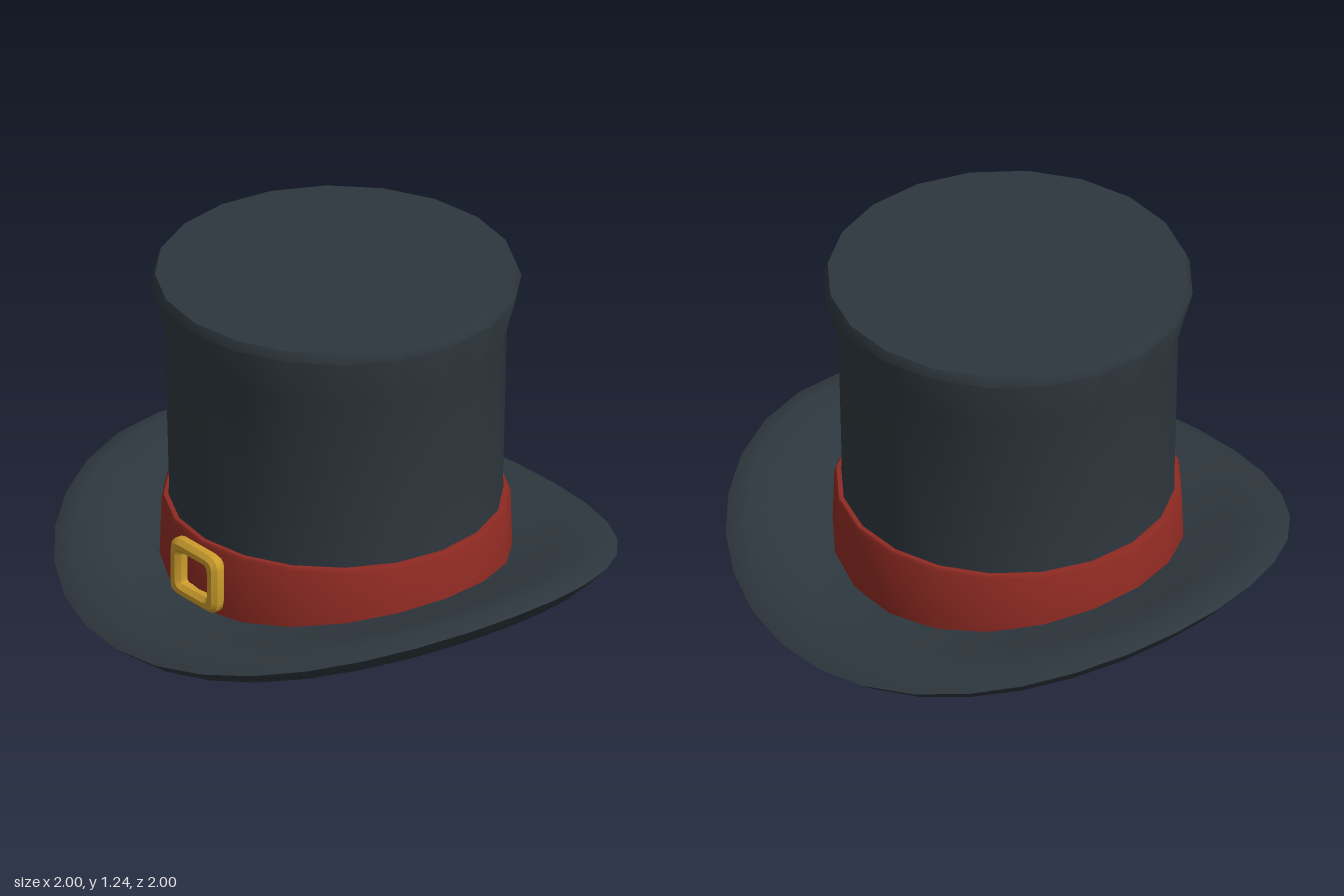
import * as THREE from 'three';
import { toCreasedNormals } from 'three/addons/utils/BufferGeometryUtils.js';

const felt = new THREE.MeshStandardMaterial({ color: 0x2e373e });
felt.name = 'charcoal felt';
const ribbon = new THREE.MeshStandardMaterial({ color: 0x8e2a22 });
ribbon.name = 'red ribbon';
const gold = new THREE.MeshStandardMaterial({ color: 0xcb9c2c });
gold.name = 'gold';

const CREASE = 0.7;

function part(name, geometry, material) {
  const mesh = new THREE.Mesh(toCreasedNormals(geometry, CREASE), material);
  mesh.name = name;
  return mesh;
}

function lathe(profile, sides) {
  return new THREE.LatheGeometry(profile.map(([r, y]) => new THREE.Vector2(r, y)), sides);
}

// Rounded rectangle outline centred on the origin
function roundedRect(target, w, h, r) {
  const x = w / 2, y = h / 2;
  target.moveTo(-x + r, -y);
  target.lineTo(x - r, -y);
  target.quadraticCurveTo(x, -y, x, -y + r);
  target.lineTo(x, y - r);
  target.quadraticCurveTo(x, y, x - r, y);
  target.lineTo(-x + r, y);
  target.quadraticCurveTo(-x, y, -x, y - r);
  target.lineTo(-x, -y + r);
  target.quadraticCurveTo(-x, -y, -x + r, -y);
  return target;
}

export function createModel() {
  const hat = new THREE.Group();
  hat.name = 'topHat';

  // Brim: a bevelled disc whose sides curl upward
  const rings = [0, 0.2, 0.4, 0.6, 0.78, 0.935];
  const brim = lathe([
    ...rings.map((r) => [r, 0]),
    [1, 0.05],
    ...rings.slice().reverse().map((r) => [r, 0.097]),
  ], 32);
  const p = brim.attributes.position;
  for (let i = 0; i < p.count; i++) {
    p.setY(i, p.getY(i) + 0.207 * p.getX(i) ** 2);
  }
  hat.add(part('brim', brim, felt));

  // Crown: slightly waisted, flaring out at the top
  hat.add(part('crown', lathe([
    [0, 0.03], [0.607, 0.03], [0.592, 0.4], [0.606, 1.01],
    [0.657, 1.2], [0.642, 1.236], [0, 1.236],
  ], 20), felt));

  // Band around the foot of the crown
  hat.add(part('band', lathe([
    [0.58, 0.09], [0.626, 0.09], [0.618, 0.345], [0.611, 0.357], [0.58, 0.357],
  ], 20), ribbon));

  // Buckle: bevelled frame on the front of the band
  const bevel = 0.016;
  const frame = roundedRect(new THREE.Shape(), 0.26 - 2 * bevel, 0.225 - 2 * bevel, 0.035);
  frame.holes.push(roundedRect(new THREE.Path(), 0.15 + 2 * bevel, 0.125 + 2 * bevel, 0.03));
  const buckle = part('buckle', new THREE.ExtrudeGeometry(frame, {
    depth: 0.028, bevelEnabled: true, bevelSize: bevel, bevelThickness: bevel,
    bevelSegments: 1, curveSegments: 3,
  }), gold);
  buckle.position.set(0, 0.228, 0.617);
  hat.add(buckle);

  return hat;
}
